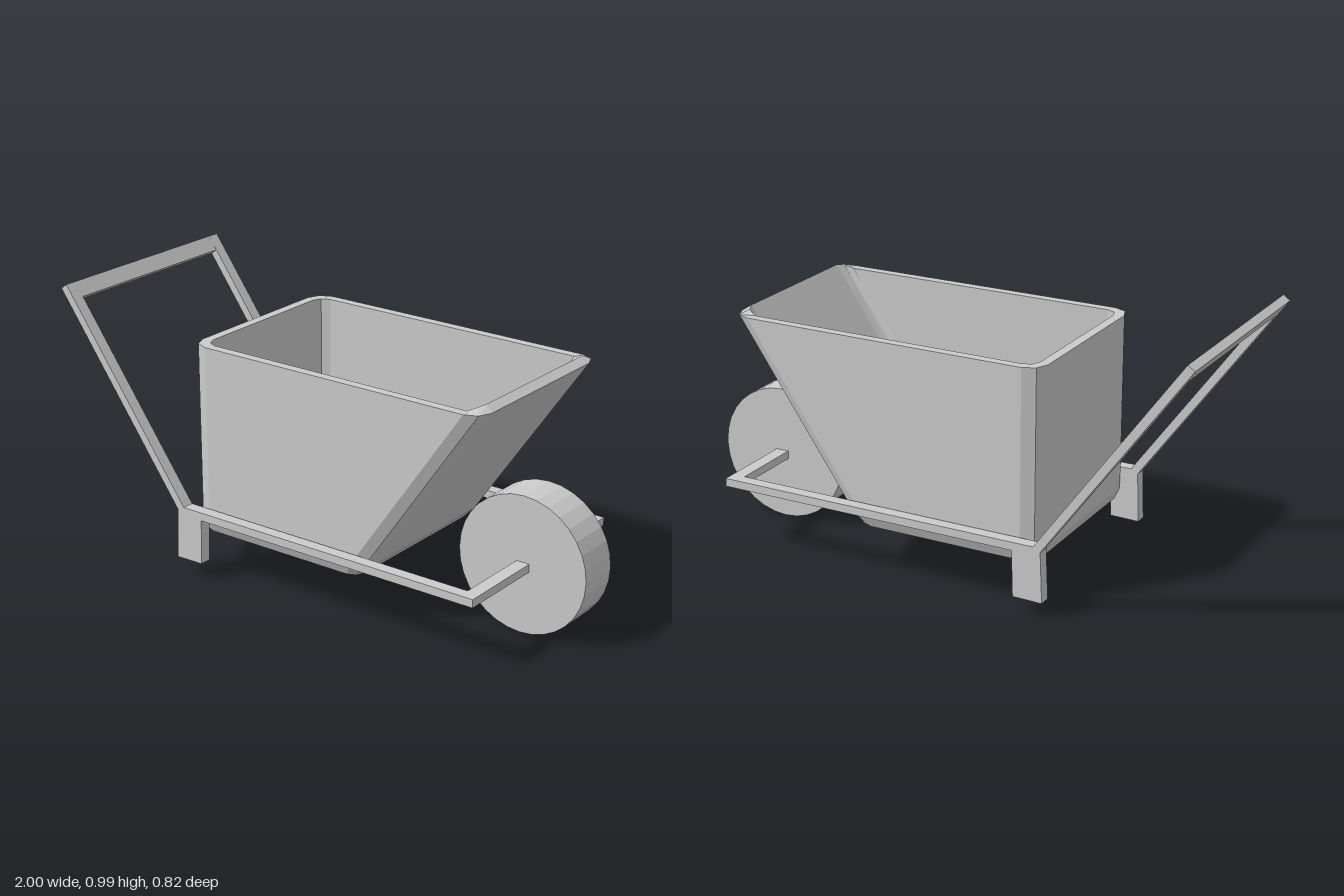
import * as THREE from 'three';

const material = new THREE.MeshStandardMaterial({ color: 0xcccccc, flatShading: true });

function addMesh(group, name, geometry) {
  const mesh = new THREE.Mesh(geometry, material);
  mesh.name = name;
  group.add(mesh);
  return mesh;
}

// Side profile (x, y pairs) extruded from z0 to z1
function slab(points, z0, z1) {
  const shape = new THREE.Shape(points.map(([x, y]) => new THREE.Vector2(x, y)));
  const geometry = new THREE.ExtrudeGeometry(shape, { depth: z1 - z0, bevelEnabled: false });
  return geometry.translate(0, 0, z0);
}

// Rectangle with two-facet corners; lift raises its front edge
function ring({ y, x0, x1, hz, c, lift = 0 }) {
  const corner = [[0, c], [c * 0.3, c * 0.3], [c, 0]];
  const frontLeft = corner.map(([a, b], i) => [x1 - a, y + lift * [1, 0.75, 0][i], hz - b]);
  const backLeft = corner.map(([a, b]) => [x0 + a, y, hz - b]).reverse();
  const half = [...frontLeft, ...backLeft];
  return [...half, ...half.map(([x, h, z]) => [x, h, -z]).reverse()];
}

// Skin a closed stack of rings, capping both ends
function skin(rings) {
  const out = [];
  const tri = (a, b, c) => out.push(...a, ...b, ...c);
  const n = rings[0].length;
  for (let r = 0; r < rings.length - 1; r++) {
    for (let i = 0; i < n; i++) {
      const j = (i + 1) % n, lo = rings[r], hi = rings[r + 1];
      tri(lo[i], hi[i], lo[j]);
      tri(lo[j], hi[i], hi[j]);
    }
  }
  const first = rings[0], last = rings[rings.length - 1];
  for (let i = 1; i < n - 1; i++) {
    tri(first[0], first[i], first[i + 1]);
    tri(last[0], last[i + 1], last[i]);
  }
  const geometry = new THREE.BufferGeometry();
  geometry.setAttribute('position', new THREE.Float32BufferAttribute(out, 3));
  geometry.computeVertexNormals();
  return geometry;
}

export function createModel() {
  const model = new THREE.Group();
  model.name = 'wheelbarrow';

  // Tub: up the outside, over the rim and down the inside
  addMesh(model, 'tub', skin([
    { y: 0.145, x0: -0.37, x1: 0.21, hz: 0.29, c: 0.01 },
    { y: 0.165, x0: -0.42, x1: 0.265, hz: 0.34, c: 0.045 },
    { y: 0.21, x0: -0.44, x1: 0.31, hz: 0.36, c: 0.065 },
    { y: 0.86, x0: -0.44, x1: 0.76, hz: 0.36, c: 0.065 },
    { y: 0.86, x0: -0.405, x1: 0.73, hz: 0.325, c: 0.045, lift: 0.02 },
    { y: 0.22, x0: -0.405, x1: 0.275, hz: 0.325, c: 0.045 },
    { y: 0.18, x0: -0.37, x1: 0.22, hz: 0.29, c: 0.01 },
  ].map(ring)));

  // Each side: leg, handle and rail in one profile
  const side = [
    [-0.485, 0.06], [-0.477, 0.245], [-1, 0.967], [-0.975, 0.985], [-0.45, 0.26],
    [0.78, 0.26], [0.78, 0.23], [-0.37, 0.23], [-0.375, 0.062],
  ];
  addMesh(model, 'leftFrame', slab(side, 0.365, 0.41));
  addMesh(model, 'rightFrame', slab(side, -0.41, -0.365));

  // Bars joining the two sides
  const grip = [[-1, 0.967], [-0.965, 0.918], [-0.94, 0.936], [-0.975, 0.985]];
  addMesh(model, 'handleGrip', slab(grip, -0.365, 0.365));
  const axle = [[0.73, 0.23], [0.78, 0.23], [0.78, 0.26], [0.73, 0.26]];
  addMesh(model, 'axleBar', slab(axle, -0.365, 0.365));

  // Wheel
  const wheel = addMesh(model, 'wheel', new THREE.CylinderGeometry(0.25, 0.25, 0.157, 32));
  wheel.rotation.x = Math.PI / 2;
  wheel.position.set(0.75, 0.25, -0.004);

  return model;
}
